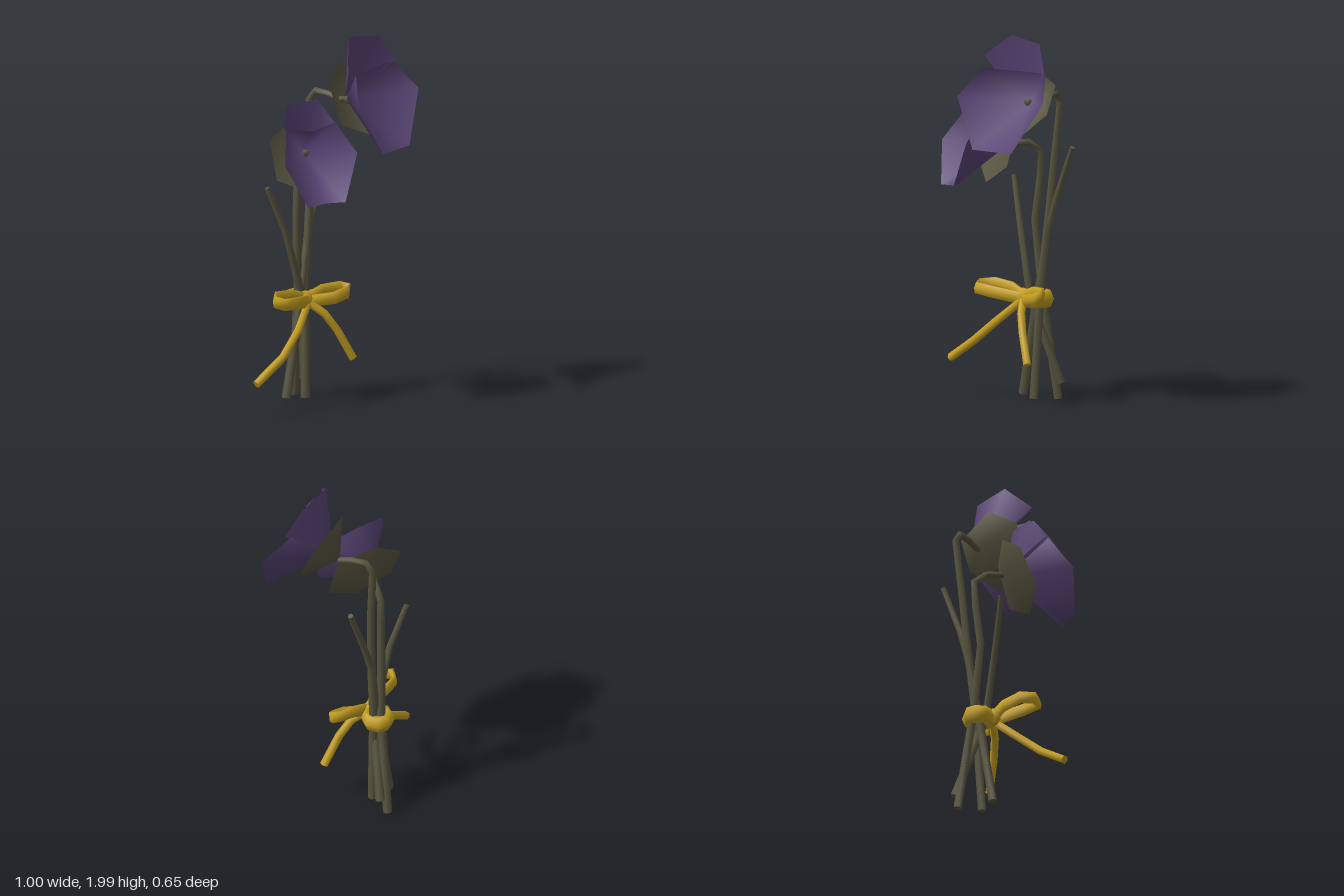
import * as THREE from 'three';

const material = (name, color, side = THREE.FrontSide) => {
  const m = new THREE.MeshStandardMaterial({ color, side });
  m.name = name;
  return m;
};

// Fan from a deep centre to an angular rim, softly shaded like a cupped petal
function cup(centre, rim, closed) {
  const geometry = new THREE.BufferGeometry();
  const index = [];
  const n = rim.length;
  for (let i = 0; i < (closed ? n : n - 1); i++) index.push(0, 1 + ((i + 1) % n), 1 + i);
  geometry.setAttribute('position', new THREE.Float32BufferAttribute([centre, ...rim].flat(), 3));
  geometry.setIndex(index);
  geometry.computeVertexNormals();
  return geometry;
}

// Elliptical section swept along a polyline; a and b are half sizes, tapering to the end
function sweep(path, a, b, ref, taper = 1, sides = 6) {
  const pts = path.map((p) => new THREE.Vector3(...p));
  const last = pts.length - 1;
  const pos = [], index = [];
  const rings = pts.map((p, i) => {
    const before = pts[Math.max(i - 1, 0)], after = pts[Math.min(i + 1, last)];
    const t = after.clone().sub(before).normalize();
    const side = t.clone().cross(ref).normalize();
    const up = t.clone().cross(side);
    const k = 1 + (taper - 1) * i / last;
    return Array.from({ length: sides }, (_, j) => {
      const w = j / sides * Math.PI * 2;
      return p.clone().addScaledVector(side, a * k * Math.cos(w))
        .addScaledVector(up, b * k * Math.sin(w)).toArray();
    });
  });
  rings.forEach((ring) => pos.push(...ring.flat()));
  for (let i = 0; i < last; i++) {
    for (let j = 0; j < sides; j++) {
      const p = i * sides + j, q = i * sides + (j + 1) % sides;
      index.push(p, q, p + sides, q, q + sides, p + sides);
    }
  }
  // End caps with their own vertices keep the cut ends crisp
  [rings[0], rings[last]].forEach((ring, end) => {
    const base = pos.length / 3;
    pos.push(...ring.flat());
    for (let j = 1; j < sides - 1; j++) {
      index.push(base, base + (end ? j : j + 1), base + (end ? j + 1 : j));
    }
  });
  const geometry = new THREE.BufferGeometry();
  geometry.setAttribute('position', new THREE.Float32BufferAttribute(pos, 3));
  geometry.setIndex(index);
  geometry.computeVertexNormals();
  return geometry;
}

export function createModel() {
  const purple = material('petal purple', 0x584374, THREE.DoubleSide);
  const leaf = material('calyx green', 0x57553f, THREE.DoubleSide);
  const green = material('stem green', 0x57553f);
  const gold = material('ribbon gold', 0xc6a021);
  const X = new THREE.Vector3(1, 0, 0);
  const Y = new THREE.Vector3(0, 1, 0);

  const model = new THREE.Group();
  model.name = 'bouquet';
  const add = (parent, name, geometry, mat) => {
    const mesh = new THREE.Mesh(geometry, mat);
    mesh.name = name;
    parent.add(mesh);
    return mesh;
  };

  // Flowers: a wide front petal, a raised back petal, a green calyx and heart
  const flowers = [
    {
      name: 'largeFlower',
      heart: [0.145, 1.64, -0.03],
      front: [[0.05, 1.83, 0.21], [0.39, 1.83, 0.03], [0.5, 1.685, 0.12],
        [0.37, 1.415, 0.235], [0.14, 1.415, 0.33], [-0.01, 1.68, 0.33]],
      back: [[0.05, 1.825, 0.14], [0.02, 1.89, 0.18], [0.1, 2, 0.06], [0.31, 1.975, 0.02], [0.405, 1.84, 0.05]],
      base: [0.14, 1.63, -0.09],
      calyx: [[-0.02, 1.755, 0.06], [0.1, 1.84, -0.04], [0.32, 1.75, -0.075],
        [0.345, 1.6, -0.005], [0.22, 1.46, 0.1], [0.01, 1.55, 0.13]],
    },
    {
      name: 'smallFlower',
      heart: [-0.105, 1.38, -0.055],
      front: [[-0.305, 1.56, 0.08], [-0.165, 1.535, 0.12], [-0.03, 1.57, 0.13],
        [0.01, 1.43, 0.285], [-0.08, 1.18, 0.31], [-0.17, 1.175, 0.26],
        [-0.28, 1.165, 0.26], [-0.38, 1.385, 0.19]],
      back: [[-0.31, 1.565, 0.06], [-0.245, 1.665, 0], [-0.065, 1.675, 0.01], [-0.025, 1.565, 0.12]],
      base: [-0.11, 1.385, -0.09],
      calyx: [[0.07, 1.52, 0], [-0.12, 1.58, -0.09], [-0.3, 1.465, -0.09],
        [-0.31, 1.265, 0], [-0.13, 1.18, 0.075], [0.072, 1.29, 0.072]],
    },
  ];
  for (const f of flowers) {
    const flower = new THREE.Group();
    flower.name = f.name;
    model.add(flower);
    const [x, y, z] = f.heart;
    add(flower, 'frontPetal', cup(f.heart, f.front, true), purple);
    add(flower, 'backPetal', cup([x, y + 0.01, z - 0.015], f.back, false), purple);
    add(flower, 'calyx', cup(f.base, f.calyx, true), leaf);
    add(flower, 'heart', new THREE.SphereGeometry(0.023, 6, 4), leaf).position.set(x, y, z + 0.014);
  }

  // Stems cross at the knot; two of them hook over into the flowers
  const stems = {
    largeFlowerStem: [[-0.03, 0.02, -0.16], [-0.01, 0.6, -0.19], [0.03, 1, -0.215], [0.05, 1.29, -0.235],
      [0.065, 1.605, -0.265], [0.08, 1.655, -0.23], [0.11, 1.65, -0.155], [0.14, 1.63, -0.085], [0.145, 1.64, -0.03]],
    smallFlowerStem: [[-0.01, 0.01, -0.3], [-0.04, 0.6, -0.215], [-0.065, 0.97, -0.19], [-0.045, 1.2, -0.21],
      [-0.04, 1.335, -0.215], [-0.065, 1.385, -0.15], [-0.108, 1.38, -0.085], [-0.105, 1.38, -0.055]],
    leftBareStem: [[-0.145, 0.03, -0.165], [-0.04, 0.55, -0.185], [0.025, 0.92, -0.215],
      [0.09, 1.1, -0.225], [0.21, 1.385, -0.25]],
    rightBareStem: [[0.035, 0.1, -0.29], [-0.05, 0.55, -0.15], [-0.16, 0.945, -0.155], [-0.255, 1.18, -0.18]],
  };
  for (const [name, path] of Object.entries(stems)) {
    add(model, name, sweep(path, 0.025, 0.025, X, 0.62), green);
  }

  // Ribbon: wrap, front knot, two loops and two tails
  const ribbon = new THREE.Group();
  ribbon.name = 'ribbon';
  model.add(ribbon);
  const wrap = add(ribbon, 'wrap', new THREE.TorusGeometry(0.056, 0.034, 6, 8).rotateX(Math.PI / 2), gold);
  wrap.scale.y = 1.45;
  wrap.position.set(-0.042, 0.55, -0.19);
  const knot = add(ribbon, 'knot', new THREE.SphereGeometry(0.052, 7, 5), gold);
  knot.scale.set(1.3, 1, 0.7);
  knot.position.set(-0.06, 0.56, -0.115);

  const loops = {
    rightLoop: [[-0.05, 0.565, -0.11], [-0.15, 0.6, -0.1], [-0.27, 0.61, -0.07],
      [-0.312, 0.603, -0.01], [-0.285, 0.593, 0.035], [-0.2, 0.578, -0.01], [-0.05, 0.555, -0.1]],
    leftLoop: [[-0.05, 0.565, -0.11], [0.05, 0.6, -0.115], [0.15, 0.607, -0.1], [0.18, 0.6, -0.07],
      [0.16, 0.585, -0.05], [0.08, 0.568, -0.045], [-0.03, 0.555, -0.1]],
  };
  for (const [name, path] of Object.entries(loops)) {
    add(ribbon, name, sweep(path, 0.016, 0.036, Y), gold);
  }
  const tails = {
    rightTail: [[-0.05, 0.545, -0.1], [-0.17, 0.425, -0.015], [-0.3, 0.31, 0.04], [-0.485, 0.195, 0.07]],
    leftTail: [[-0.04, 0.545, -0.1], [0.02, 0.49, -0.05], [0.08, 0.4, -0.02], [0.165, 0.24, 0.005]],
  };
  for (const [name, path] of Object.entries(tails)) {
    add(ribbon, name, sweep(path, 0.021, 0.023, Y), gold);
  }
  return model;
}
